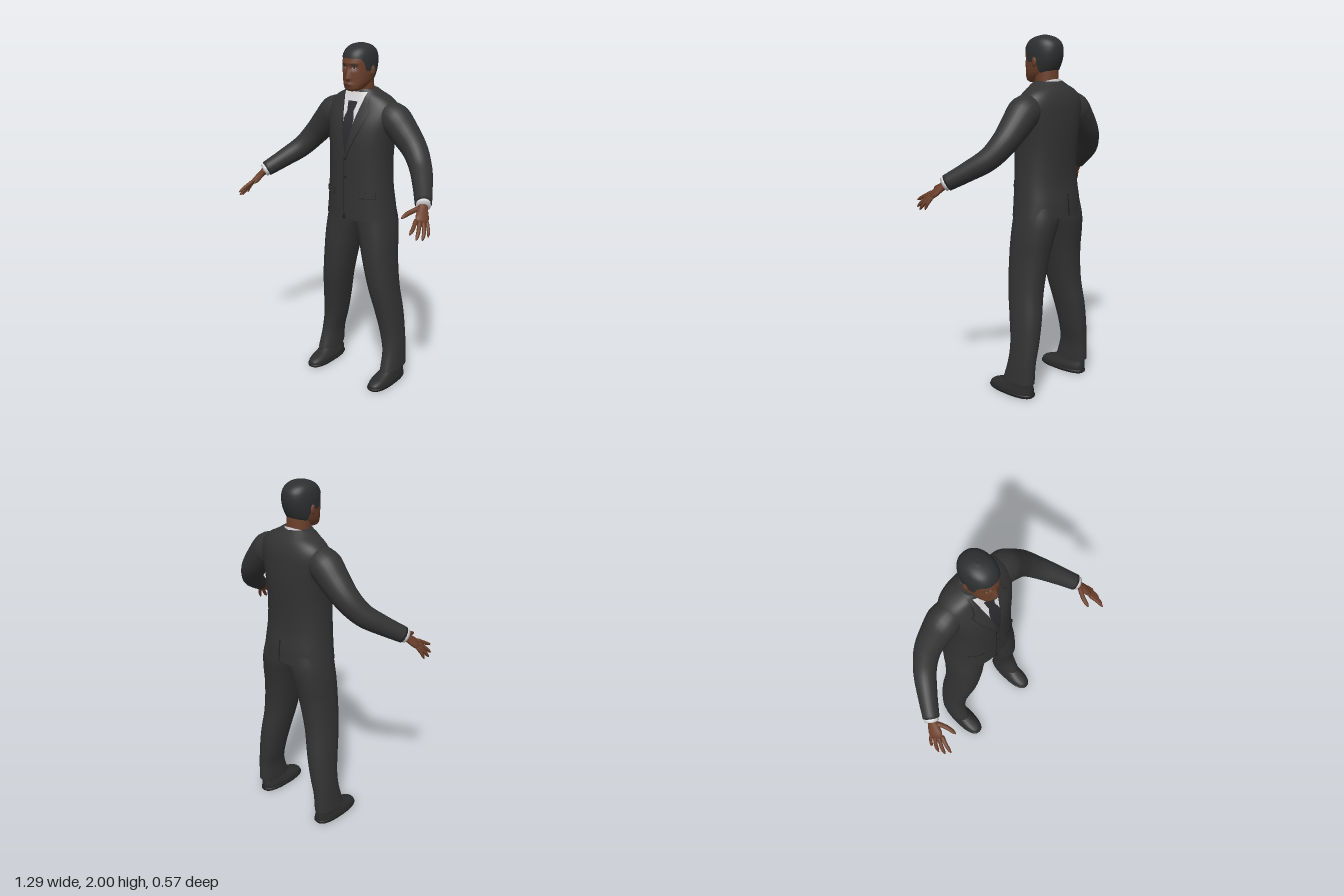
import * as THREE from 'three';

const mat = (name, color) => Object.assign(new THREE.MeshStandardMaterial({ color }), { name });
const M = {
  suit: mat('charcoal suit', 0x333333), seam: mat('dark seam', 0x222222), tie: mat('dark tie', 0x2b2b2f),
  shirt: mat('white shirt', 0xd8d8da), skin: mat('brown skin', 0x6b3f2b), lips: mat('lips', 0x57302a),
  hair: mat('dark hair', 0x2d2f30), shoe: mat('shoe leather', 0x2c2c2d), eye: mat('eye white', 0x9d938c),
};
const { lerp } = THREE.MathUtils;
const V = (p) => new THREE.Vector3(...p);

// Piecewise linear lookup in [[key, value], ...]
const pick = (tab, k) => {
  for (let i = 1; i < tab.length; i++) {
    if (k <= tab[i][0]) return lerp(tab[i - 1][1], tab[i][1], Math.max(0, (k - tab[i - 1][0]) / (tab[i][0] - tab[i - 1][0])));
  }
  return tab[tab.length - 1][1];
};

// Surface from fn(u, v); closed wraps around u, caps close the first and last rows
function grid(cols, rows, fn, closed = false, capStart = false, capEnd = false) {
  const n = closed ? cols : cols + 1, lines = [];
  for (let r = 0; r <= rows; r++) lines.push(Array.from({ length: n }, (_, c) => fn(c / cols, r / rows)));
  const collapse = (line) => {
    const m = line.reduce((s, p) => s.add(p), new THREE.Vector3()).divideScalar(n);
    return line.map(() => m);
  };
  if (capStart) lines.unshift(collapse(lines[0]));
  if (capEnd) lines.push(collapse(lines[lines.length - 1]));
  const index = [];
  for (let r = 0; r < lines.length - 1; r++) for (let c = 0; c < cols; c++) {
    const d = (c + 1) % n, a = r * n, b = a + n;
    index.push(a + c, a + d, b + d, a + c, b + d, b + c);
  }
  const g = new THREE.BufferGeometry().setFromPoints(lines.flat());
  g.setIndex(index);
  g.computeVertexNormals();
  return g;
}

// Upright body from rows [y, xMin, xMax, zFront, zBack] with superellipse sections
function body(table, n, bump = () => 0) {
  const curve = new THREE.CubicInterpolant(table.map((r) => r[0]), table.flatMap((r) => r.slice(1)), 4);
  const at = (y) => {
    const [x0, x1, zf, zb] = curve.evaluate(y);
    return { xc: (x0 + x1) / 2, a: (x1 - x0) / 2, zc: (zf + zb) / 2, b: (zf - zb) / 2 };
  };
  const pw = (s) => Math.sign(s) * Math.abs(s) ** (2 / n);
  const point = (t, y) => {
    const { xc, a, zc, b } = at(y), x = xc + a * pw(Math.sin(t)), c = Math.cos(t);
    return new THREE.Vector3(x, y, zc + b * pw(c) + (c > 0 ? bump(x, y) : 0));
  };
  const z = (x, y, side = 1) => {
    const { xc, a, zc, b } = at(y);
    return zc + side * b * Math.max(0, 1 - Math.abs((x - xc) / a) ** n) ** (1 / n) + (side > 0 ? bump(x, y) : 0);
  };
  const y0 = table[0][0], y1 = table[table.length - 1][0];
  const loft = (cols, rows) => grid(cols, rows, (u, v) =>
    point(u * Math.PI * 2, lerp(y0, y1, (1 - Math.cos(v * Math.PI)) / 2)), true, true, true);
  return { point, z, loft };
}
const symmetric = (table) => table.map(([y, a, f, b]) => [y, -a, a, f, b]);

// Thin panel lying on a body, between x = left(y) and x = right(y)
const panel = (b, y0, y1, left, right, off, side = 1) => grid(14, 18, (u, v) => {
  const y = lerp(y0, y1, v), x = side > 0 ? lerp(left(y), right(y), u) : lerp(right(y), left(y), u);
  return new THREE.Vector3(x, y, b.z(x, y, side) + side * off);
});
const oval = (b, cx, cy, w, h, off) => {
  const half = (y) => w * Math.sqrt(Math.max(0, 1 - ((y - cy) / h) ** 2));
  return panel(b, cy - h, cy + h, (y) => cx - half(y), (y) => cx + half(y), off);
};

// Round limb along a curve with radii spread evenly along it
function limb(points, radii, cols = 12, rows = 14) {
  const curve = new THREE.CatmullRomCurve3(points.map(V));
  const f = curve.computeFrenetFrames(rows);
  const tab = radii.map((r, i) => [i / (radii.length - 1), r]);
  return grid(cols, rows, (u, v) => {
    const i = Math.round(v * rows), r = pick(tab, v), t = u * Math.PI * 2;
    return curve.getPointAt(v).addScaledVector(f.normals[i], r * Math.cos(t)).addScaledVector(f.binormals[i], r * Math.sin(t));
  }, true, true, true);
}

function mirrored(g) {
  const m = g.clone().scale(-1, 1, 1), ix = m.index.array;
  for (let i = 0; i < ix.length; i += 3) [ix[i], ix[i + 1]] = [ix[i + 1], ix[i]];
  m.computeVertexNormals();
  return m;
}

export function createModel() {
  const root = new THREE.Group();
  root.name = 'manInSuit';
  const add = (name, g, m) => {
    const mesh = new THREE.Mesh(g, m);
    mesh.name = name;
    root.add(mesh);
  };
  const pair = (name, g, m) => {
    add('left' + name, g, m);
    add('right' + name, mirrored(g), m);
  };

  // Jacket
  const torso = body(symmetric([
    [1.02, .217, .03, -.28], [1.1, .206, .03, -.275], [1.2, .196, .03, -.262], [1.3, .19, .03, -.26],
    [1.4, .19, .03, -.265], [1.5, .2, .024, -.27], [1.58, .213, .006, -.268], [1.64, .215, -.018, -.262],
    [1.68, .2, -.036, -.25], [1.71, .165, -.048, -.235], [1.735, .115, -.055, -.215], [1.755, .085, -.062, -.195]]), 2.3);
  add('jacket', torso.loft(64, 60), M.suit);

  // Shirt front, tie and lapels
  const opening = (y) => pick([[1.4, 0], [1.58, .036], [1.74, .076]], y);
  const lapel = (y) => pick([[1.39, .004], [1.58, .095], [1.645, .118], [1.66, .1], [1.74, .09]], y);
  const tie = (y) => Math.min(opening(y), pick([[1.4, .028], [1.6, .034], [1.64, .02], [1.645, .024], [1.69, .032]], y));
  add('shirtFront', panel(torso, 1.4, 1.74, (y) => -opening(y), opening, .003), M.shirt);
  add('tie', panel(torso, 1.4, 1.69, (y) => -tie(y), tie, .006), M.tie);
  pair('LapelEdge', panel(torso, 1.385, 1.742, (y) => opening(y) - .001, (y) => lapel(y) + .004, .004), M.seam);
  pair('Lapel', panel(torso, 1.39, 1.742, opening, lapel, .008), M.suit);

  // Front closure, hem cutaway, vent, pockets and buttons
  add('frontSeam', panel(torso, 1.06, 1.39, () => -.014, () => -.01, .004), M.seam);
  add('hemCutaway', panel(torso, 1.021, 1.06, (y) => -.012 - (1.06 - y) * .4, (y) => -.01 + (1.06 - y) * .4, .004), M.seam);
  add('backVent', panel(torso, 1.021, 1.15, () => -.005, () => .005, .004, -1), M.seam);
  pair('PocketShadow', panel(torso, 1.155, 1.192, () => .085, () => .17, .004), M.seam);
  pair('PocketFlap', panel(torso, 1.16, 1.192, () => .086, () => .169, .008), M.suit);
  for (const y of [1.27, 1.375]) add('button', oval(torso, 0, y, .009, .009, .007), M.seam);

  // Sleeves and shirt cuffs
  pair('Sleeve', limb([[.12, 1.62, -.14], [.2, 1.6, -.14], [.27, 1.535, -.14], [.35, 1.45, -.13], [.42, 1.367, -.085],
    [.49, 1.3, 0], [.556, 1.238, .092]], [.075, .092, .082, .072, .064, .058, .051, .045], 24, 40), M.suit);
  pair('ShirtCuff', limb([[.54, 1.253, .07], [.566, 1.228, .106]], [.037, .038], 20, 4), M.shirt);

  // Hands
  const wrist = V([.553, 1.241, .09]), knuckle = V([.6, 1.163, .172]);
  const along = knuckle.clone().sub(wrist), across = V([-.022, .01, .03]).normalize();
  const thick = along.clone().cross(across).normalize();
  pair('Palm', grid(18, 10, (u, v) => {
    const t = u * Math.PI * 2;
    return wrist.clone().lerp(knuckle, v)
      .addScaledVector(across, Math.cos(t) * pick([[0, .025], [.35, .029], [.75, .039], [1, .034]], v))
      .addScaledVector(thick, Math.sin(t) * pick([[0, .023], [.4, .019], [.8, .016], [1, .011]], v));
  }, true, true, true), M.skin);
  const fingers = [
    ['IndexFinger', [.578, 1.178, .193], [.594, 1.15, .243], [.6, 1.13, .282], .0105],
    ['MiddleFinger', [.593, 1.168, .182], [.614, 1.13, .224], [.624, 1.1, .256], .0108],
    ['RingFinger', [.606, 1.162, .165], [.63, 1.122, .196], [.638, 1.09, .221], .0102],
    ['LittleFinger', [.615, 1.162, .145], [.636, 1.124, .163], [.642, 1.096, .174], .009],
    ['Thumb', [.555, 1.222, .132], [.53, 1.206, .184], [.518, 1.188, .236], .0125]];
  for (const [name, a, b, c, r] of fingers) pair(name, limb([a, b, c], [r, r * 1.1, r, r * 1.02, r * .95, r * .85, r * .35], 10, 14), M.skin);

  // Trousers
  const leg = body([
    [.085, .187, .294, -.02, -.23], [.2, .18, .288, -.054, -.232], [.3, .155, .28, -.06, -.236], [.44, .124, .268, -.04, -.235],
    [.6, .088, .25, -.01, -.222], [.8, .044, .231, .005, -.235], [.9, .021, .225, .004, -.252],
    [1, -.006, .212, .002, -.266], [1.08, -.012, .195, 0, -.258]], 2.3);
  pair('TrouserLeg', leg.loft(40, 48), M.suit);

  // Shoes
  const shoe = body([
    [.012, .178, .289, .086, -.218], [.03, .176, .29, .087, -.22], [.048, .181, .286, .066, -.22],
    [.065, .19, .282, .015, -.218], [.09, .198, .278, -.04, -.215], [.13, .205, .272, -.07, -.21]], 2.5);
  pair('Shoe', shoe.loft(40, 20), M.shoe);
  const sole = body([[0, .176, .29, .085, -.218], [.004, .172, .293, .091, -.222], [.018, .172, .293, .092, -.222], [.02, .176, .29, .088, -.22]], 2.5);
  pair('Sole', sole.loft(40, 8), M.seam);

  // Neck and shirt collar
  add('neck', limb([[0, 1.68, -.125], [0, 1.74, -.12], [0, 1.82, -.115]], [.07, .065, .066], 28, 8), M.skin);
  const collar = grid(40, 6, (u, v) => {
    const t = u * Math.PI * 2, c = Math.cos(t);
    return new THREE.Vector3(lerp(.087, .071, v) * Math.sin(t), lerp(1.685, 1.742 - .026 * c, v), -.122 + lerp(.083, .073, v) * c);
  }, true);
  const collarMat = M.shirt;
  collarMat.side = THREE.DoubleSide;
  add('shirtCollar', collar, collarMat);

  // Head with nose, eye sockets, brow and lips raised by rule
  const g2 = (d, s) => Math.exp(-((d / s) ** 2));
  const features = (x, y) => {
    const nose = Math.max(0, y > 1.815 ? 1 - (y - 1.815) / .062 : 1 - (1.815 - y) / .015);
    return .023 * g2(x, .009 + .005 * nose) * nose - .01 * g2(Math.abs(x) - .032, .016) * g2(y - 1.873, .013)
      + .004 * g2(y - 1.898, .01) * g2(x, .05) + .008 * g2(x, .022) * g2(y - 1.784, .013);
  };
  const skull = [
    [1.747, .022, -.006, -.06], [1.755, .042, .005, -.09], [1.775, .06, .01, -.13], [1.8, .072, .009, -.165],
    [1.84, .08, .009, -.19], [1.88, .083, .009, -.203], [1.92, .082, .007, -.205], [1.95, .075, -.006, -.196],
    [1.973, .06, -.032, -.172], [1.986, .038, -.062, -.144], [1.993, .01, -.09, -.115]];
  const head = body(symmetric(skull), 2.2, features);
  add('head', head.loft(96, 90), M.skin);
  const ear = new THREE.SphereGeometry(1, 14, 12).scale(.01, .028, .018).rotateY(-.3).translate(.084, 1.857, -.1);
  pair('Ear', ear, M.skin);
  pair('EyeWhite', oval(head, .032, 1.873, .013, .0055, .002), M.eye);
  pair('Iris', oval(head, .032, 1.873, .005, .005, .004), M.seam);
  pair('Eyebrow', oval(head, .034, 1.892, .02, .004, .003), M.hair);
  add('lips', oval(head, 0, 1.784, .024, .008, .002), M.lips);
  add('mouthLine', oval(head, 0, 1.785, .022, .0015, .004), M.seam);

  // Close-cropped hair with a hairline that drops behind the ears
  const scalp = body(symmetric(skull.map(([y, a, f, b]) => [y + (y - 1.74) * .028, a + .004, f + .003, b - .006])), 2.2);
  const hairline = [[0, 1.925], [.8, 1.923], [1, 1.905], [1.15, 1.86], [1.4, 1.855], [1.65, 1.86], [1.95, 1.81], [2.4, 1.787], [3.2, 1.785]];
  add('hair', grid(72, 36, (u, v) => {
    const t = u * Math.PI * 2, low = pick(hairline, Math.min(t, Math.PI * 2 - t));
    return scalp.point(t, lerp(low, 2, Math.sin(v * Math.PI / 2)));
  }, true, false, true), M.hair);

  return root;
}
